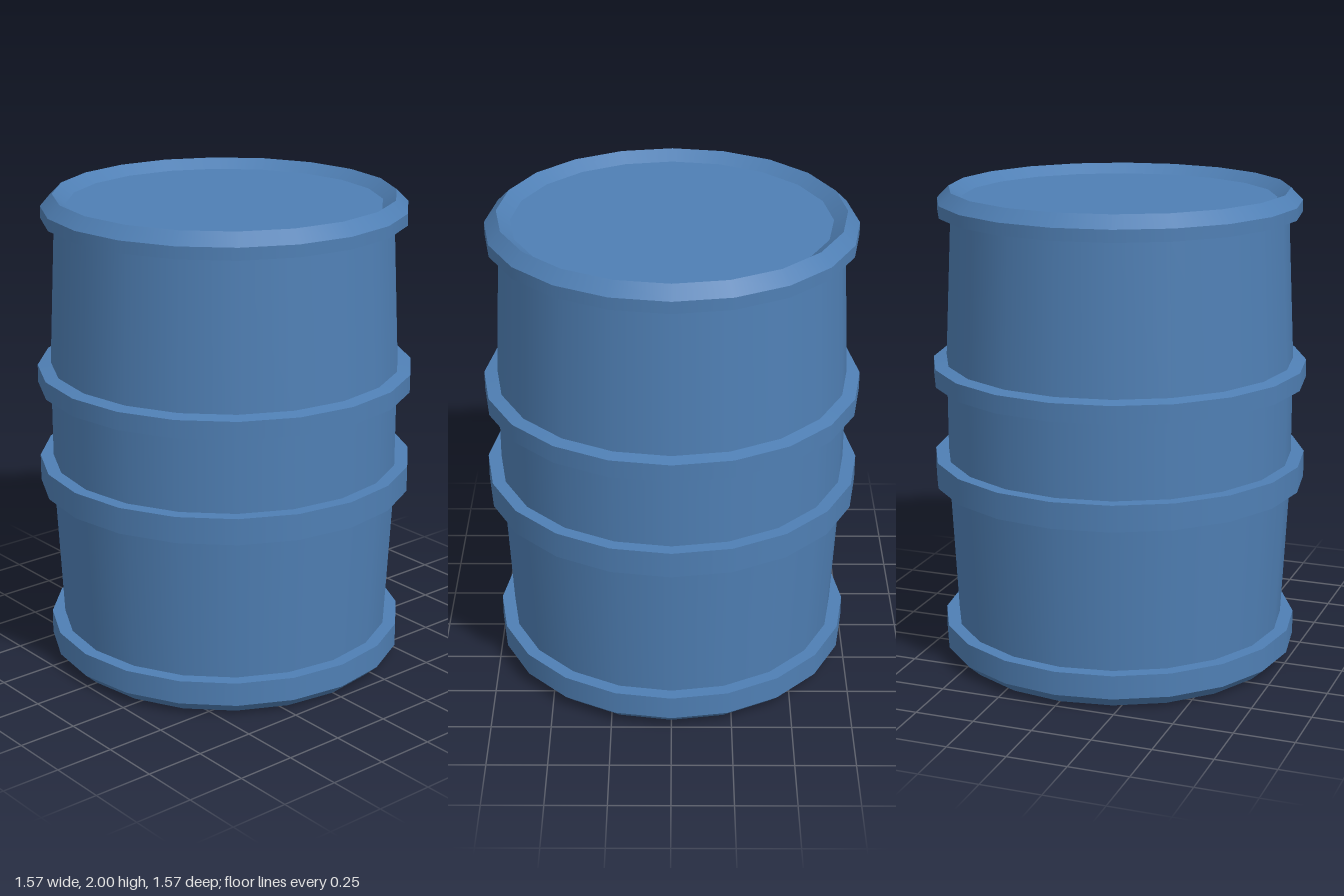
import * as THREE from 'three';
import { mergeGeometries } from 'three/addons/utils/BufferGeometryUtils.js';

const SIDES = 20;

// Lathe each profile segment on its own: smooth around, hard edges between bands
function lathe(profile) {
  const strips = [];
  for (let i = 0; i < profile.length - 1; i++) {
    const pts = [profile[i], profile[i + 1]].map(([r, y]) => new THREE.Vector2(r, y));
    strips.push(new THREE.LatheGeometry(pts, SIDES));
  }
  return mergeGeometries(strips);
}

export function createModel() {
  const barrel = new THREE.Group();
  barrel.name = 'barrel';
  const paint = new THREE.MeshStandardMaterial({ color: 0x4f7fb4 });

  // Profiles run as [radius, height], bottom to top
  const parts = {
    bottomRim: [[0, 0], [0.7, 0], [0.755, 0.05], [0.755, 0.15], [0.7, 0.15]],
    lowerWall: [[0.7, 0.15], [0.73, 0.75]],
    lowerHoop: [[0.73, 0.75], [0.785, 0.765], [0.785, 0.875], [0.73, 0.875]],
    middleWall: [[0.73, 0.875], [0.73, 1.2]],
    upperHoop: [[0.73, 1.2], [0.785, 1.2], [0.785, 1.275], [0.73, 1.285]],
    upperWall: [[0.73, 1.285], [0.7, 1.9]],
    topRim: [[0.7, 1.9], [0.755, 1.9], [0.755, 1.95], [0.705, 2], [0.65, 1.96]],
    lid: [[0.65, 1.96], [0, 1.96]],
  };

  for (const [name, profile] of Object.entries(parts)) {
    const mesh = new THREE.Mesh(lathe(profile), paint);
    mesh.name = name;
    barrel.add(mesh);
  }
  return barrel;
}
